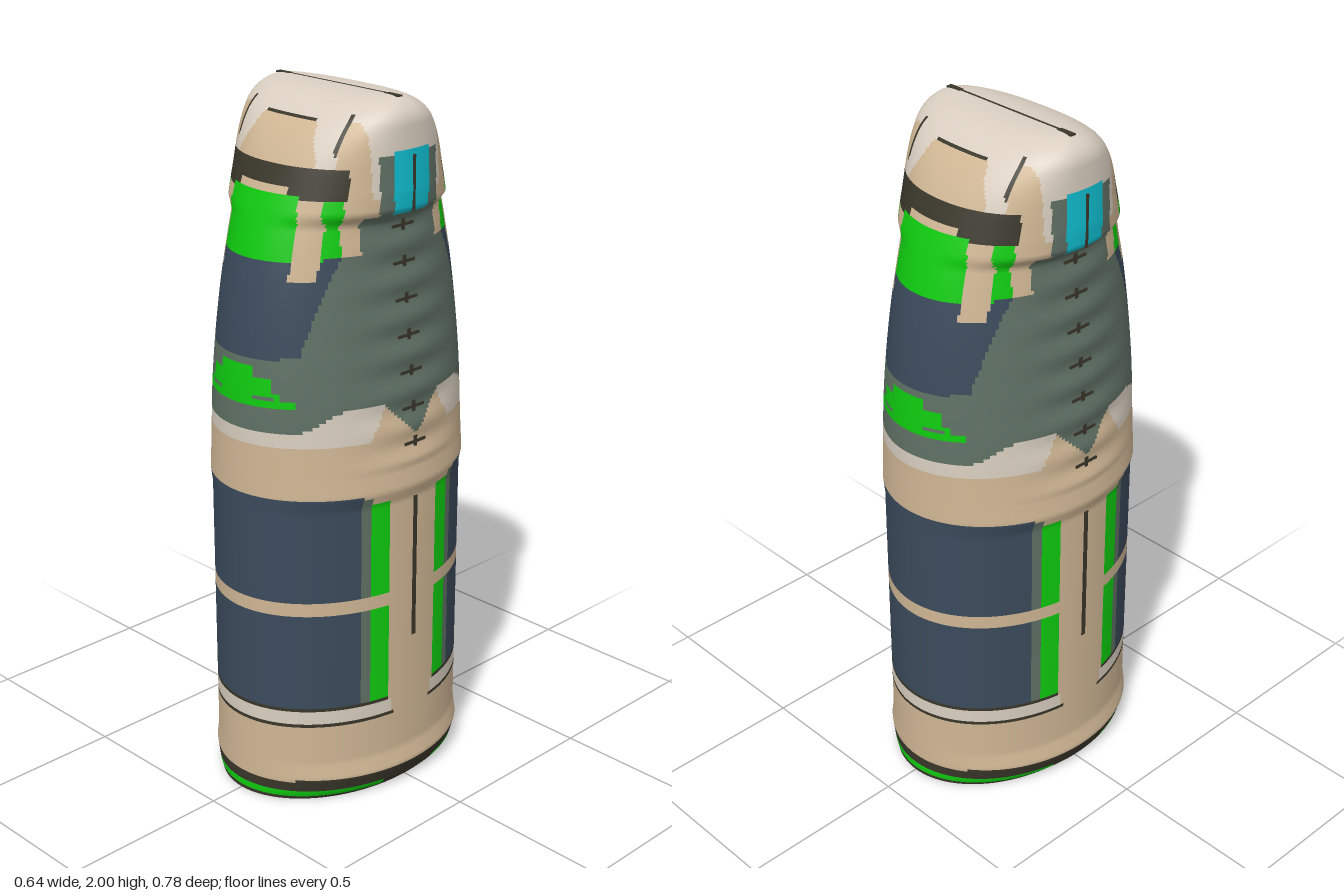
import * as THREE from 'three';

const colours = {
  tan: 0xcfb694, cream: 0xd9cec0, navy: 0x3b4a5b, sage: 0x5f7064,
  green: 0x0fcb0f, dark: 0x39362a, cyan: 0x10bfd2,
};
const mats = {};
for (const [name, color] of Object.entries(colours)) {
  mats[name] = new THREE.MeshStandardMaterial({ color, side: THREE.DoubleSide });
  mats[name].name = name;
}

// Half width across x at height y
const widths = [[0, 0.28], [0.02, 0.3], [0.07, 0.32], [0.12, 0.306], [0.9, 0.306], [0.94, 0.32],
  [1.0, 0.312], [1.1, 0.302], [1.2, 0.294], [1.4, 0.272], [1.6, 0.252], [1.68, 0.248],
  [1.71, 0.282], [1.76, 0.285], [1.93, 0.278]];
function halfWidth(y) {
  if (y > 1.93) return 0.2 + 0.078 * Math.sqrt(Math.max(0, 1 - ((y - 1.93) / 0.07) ** 2));
  const i = Math.max(1, widths.findIndex(p => p[0] >= y));
  const [y0, w0] = widths[i - 1], [y1, w1] = widths[i];
  return w0 + (w1 - w0) * (y - y0) / (y1 - y0);
}

// Half depth along z: straight body, then a rounded dome closing in a ridge
function halfDepth(y) {
  const t = Math.max(0, (y - 1.1) / 0.9);
  return 0.39 * Math.pow(Math.max(0, 1 - t * t), 0.4);
}

// Shallow ribs down each side seam
const ribStart = 1.06, ribStep = 0.1;
function rib(y) {
  return y > 1 && y < 1.68 ? -0.005 * Math.cos(2 * Math.PI * (y - ribStart) / ribStep) : 0;
}

function skinPoint(angle, y) {
  const c = Math.cos(angle), s = Math.sin(angle);
  const e = 2 / (2 + 0.5 * THREE.MathUtils.smoothstep(y, 1.75, 1.98));
  return new THREE.Vector3(
    Math.sign(c) * Math.abs(c) ** e * (halfWidth(y) + rib(y) * Math.abs(c) ** 12), y,
    Math.sign(s) * Math.abs(s) ** e * halfDepth(y));
}

// Which part a spot of skin belongs to; x and z are distances from the middle
function partAt(x, y, z) {
  // foot and lower body
  if (y < 0.055 + 0.06 * x) return y > 0.012 && y < 0.032 && z > 0.1 ? 'footStripe:green' : 'footBand:dark';
  if (y < 0.24) return 'lowerBody:tan';
  if (y < 0.25) return z > 0.07 ? 'lowerLine:dark' : 'lowerBody:tan';
  if (y < 0.29) return z > 0.08 ? 'lowerTrim:cream' : 'lowerBody:tan';
  if (y < 0.3) return z > 0.09 ? 'panelEdge:dark' : 'lowerBody:tan';
  if (y < 0.945) {
    if ((y > 0.59 && y < 0.63) || z < 0.095) return 'lowerBody:tan';
    if (z < 0.15) return y < 0.91 ? 'sideStrip:green' : 'lowerBody:tan';
    if (z < 0.18) return y < 0.93 ? 'panelBorder:sage' : 'lowerBody:tan';
    return 'bodyPanel:navy';
  }
  // belt, whose trim rises toward the sides and dips at the seam
  const beltTop = z < 0.1 ? 1.08 + z : 1.19 - 0.06 * THREE.MathUtils.smoothstep(z, 0.2, 0.33);
  if (y < beltTop) {
    const trimFrom = z > 0.15 ? 1.09 : 1.09 + (0.15 - z) * 1.8;
    return y > trimFrom ? 'beltTrim:cream' : 'belt:tan';
  }
  // upper body
  if (y < 1.75) {
    if (y > 1.2 && y < 1.31) {
      const reach = y < 1.22 ? 0.165 : y < 1.24 ? 0.13 : y < 1.28 ? 0.11 : 0.06;
      if (x < reach && !(y > 1.215 && y < 1.23 && x > 0.06 && x < 0.12)) return 'chestMark:green';
    }
    if (x > 0.125 && x < 0.178 && y > 1.54 && z > 0.15) return 'strap:tan';
    if (z > 0.14 && z < 0.19 && y > 1.6) return 'headPillar:tan';
    if (y > 1.585 + 0.3 * x * x && x < 0.222 && z > 0.17) return 'neckPanel:green';
    if (y > 1.33 + 0.3 * x * x && x < 0.165 + (y - 1.33) * 0.16 && z > 0.15) return 'upperPanel:navy';
  }
  // side pads
  if (y > 1.7 && y < 1.87 && z < 0.065) return 'sidePad:cyan';
  if (y < 1.86 && z < 0.105) return 'upperBody:sage';
  if (y < 1.75) return y > 1.7 && z < 0.2 ? 'headPillar:tan' : 'upperBody:sage';
  // head
  if (x < 0.22 && z > 0.14) {
    if (y < 1.765) return x < 0.12 ? 'neckPanel:green' : 'brow:dark';
    if (y < 1.785) return x < 0.09 ? 'faceplate:tan' : 'brow:dark';
    if (y < 1.832) return 'brow:dark';
    if (y < 1.935 && x < 0.1 + (1.935 - y) * 0.45) return 'faceplate:tan';
    if (y > 1.935 && y < 1.942 && x < 0.09) return 'browLine:dark';
  }
  if (y > 1.86 && x > 0.178 && x < 0.188 && z > 0.12 && z < 0.2) return 'browLine:dark';
  if (x > 0.188 && z > 0.125 && y < 1.945) return 'headCorner:tan';
  return 'headCap:cream';
}

// One smooth open shell, cut into its coloured parts
function buildShell(group) {
  const around = 240, heights = [];
  for (let i = 0; i < 190; i++) heights.push(i * 0.01);
  for (let i = 0; i <= 24; i++) heights.push(2 - 0.1 * (1 - i / 24) ** 2);
  const points = [], all = [], parts = {};
  for (const y of heights)
    for (let j = 0; j < around; j++) points.push(skinPoint(j / around * 2 * Math.PI, y));
  for (let i = 0; i < heights.length - 1; i++) {
    for (let j = 0; j < around; j++) {
      const k = (j + 1) % around, n = i * around;
      const a = n + j, b = n + around + j, c = n + k, d = n + around + k;
      const mid = points[a].clone().add(points[d]).multiplyScalar(0.5);
      const key = partAt(Math.abs(mid.x), mid.y, Math.abs(mid.z));
      const faces = [a, b, c, c, b, d];
      (parts[key] ??= []).push(...faces);
      all.push(...faces);
    }
  }
  const skin = new THREE.BufferGeometry().setFromPoints(points);
  skin.setIndex(all);
  skin.computeVertexNormals();
  for (const [key, faces] of Object.entries(parts)) {
    const [name, colour] = key.split(':');
    skin.setIndex(faces);
    const mesh = new THREE.Mesh(skin.toNonIndexed(), mats[colour]);
    mesh.name = name;
    group.add(mesh);
  }
}

function addPlate(group, name, size, position) {
  const mesh = new THREE.Mesh(new THREE.BoxGeometry(...size), mats.dark);
  mesh.position.set(...position);
  mesh.name = name;
  group.add(mesh);
}

export function createModel() {
  const group = new THREE.Group();
  group.name = 'armouredSleeve';
  buildShell(group);

  // Seam lines and rib grooves on both sides
  for (const side of [-1, 1]) {
    addPlate(group, 'sideSeam', [0.006, 0.43, 0.014], [side * 0.305, 0.685, 0]);
    addPlate(group, 'padSeam', [0.006, 0.15, 0.008], [side * 0.283, 1.78, 0]);
    for (let i = 0; i < 7; i++) {
      const y = ribStart + i * ribStep, x = side * (halfWidth(y) + rib(y));
      addPlate(group, 'ribGroove', [0.006, 0.008, 0.08], [x, y, 0]);
      addPlate(group, 'ribSeam', [0.006, 0.035, 0.012], [x, y, 0]);
    }
    addPlate(group, 'capSeamEnd', [0.05, 0.004, 0.018], [side * 0.205, 1.998, 0]);
  }
  addPlate(group, 'capSeam', [0.4, 0.004, 0.008], [0, 1.998, 0]);
  return group;
}
